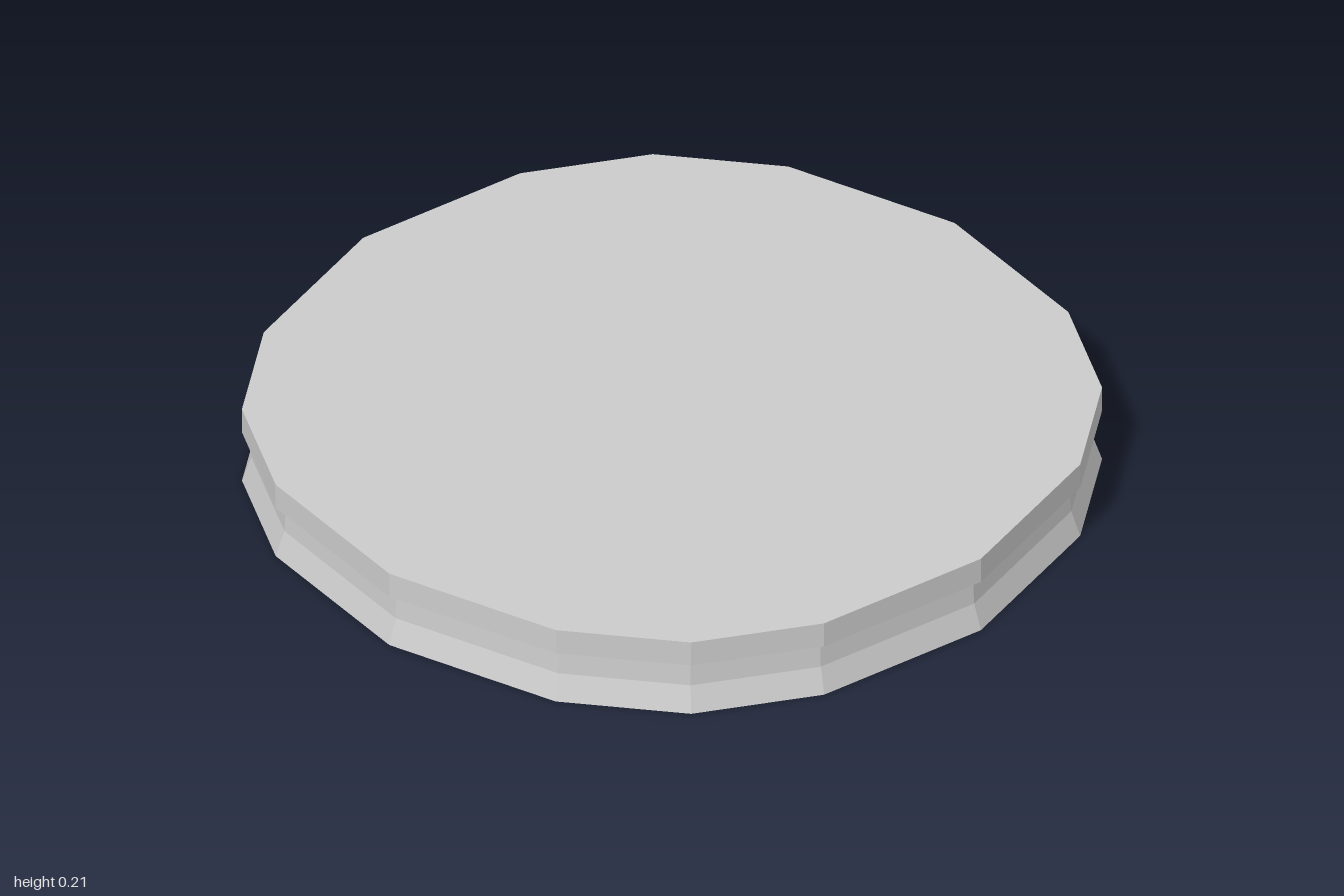
import * as THREE from 'three';

// One quarter of the sixteen-sided outline as [x, z], starting at the front
const QUARTER = [[0, 1], [0.453, 0.907], [0.727, 0.727], [0.907, 0.453]];
const SIDES = QUARTER.length * 4;

// Corner i of the outline: the quarter turned by 90 degrees as often as needed
function corner(i) {
  let [x, z] = QUARTER[i % 4];
  for (let q = Math.floor((i % SIDES) / 4); q > 0; q--) [x, z] = [z, -x];
  return [x, z];
}

// Sweeps a profile of [scale, height] points, bottom to top, round the outline
function sweep(name, profile, material) {
  const points = profile.map(([r, y]) => new THREE.Vector2(r, y));
  const geometry = new THREE.LatheGeometry(points, SIDES);
  const pos = geometry.attributes.position;
  for (let v = 0; v < pos.count; v++) {
    const [x, z] = corner(Math.floor(v / profile.length));
    const r = profile[v % profile.length][0];
    pos.setX(v, x * r);
    pos.setZ(v, z * r);
  }
  geometry.computeVertexNormals();
  const mesh = new THREE.Mesh(geometry, material);
  mesh.name = name;
  return mesh;
}

export function createModel() {
  const group = new THREE.Group();
  group.name = 'shallowDisc';
  const material = new THREE.MeshStandardMaterial({
    color: 0xcccccc, flatShading: true, side: THREE.DoubleSide,
  });

  // Flared skirt, open underneath
  group.add(sweep('skirt', [[1, 0], [0.978, 0.067], [0.974, 0.14]], material));
  // Overhanging ledge, upright rim and flat top, as a thin shell
  group.add(sweep('rim', [[0.974, 0.14], [1, 0.14], [1, 0.207]], material));
  group.add(sweep('top', [[1, 0.207], [0, 0.207]], material));
  return group;
}
